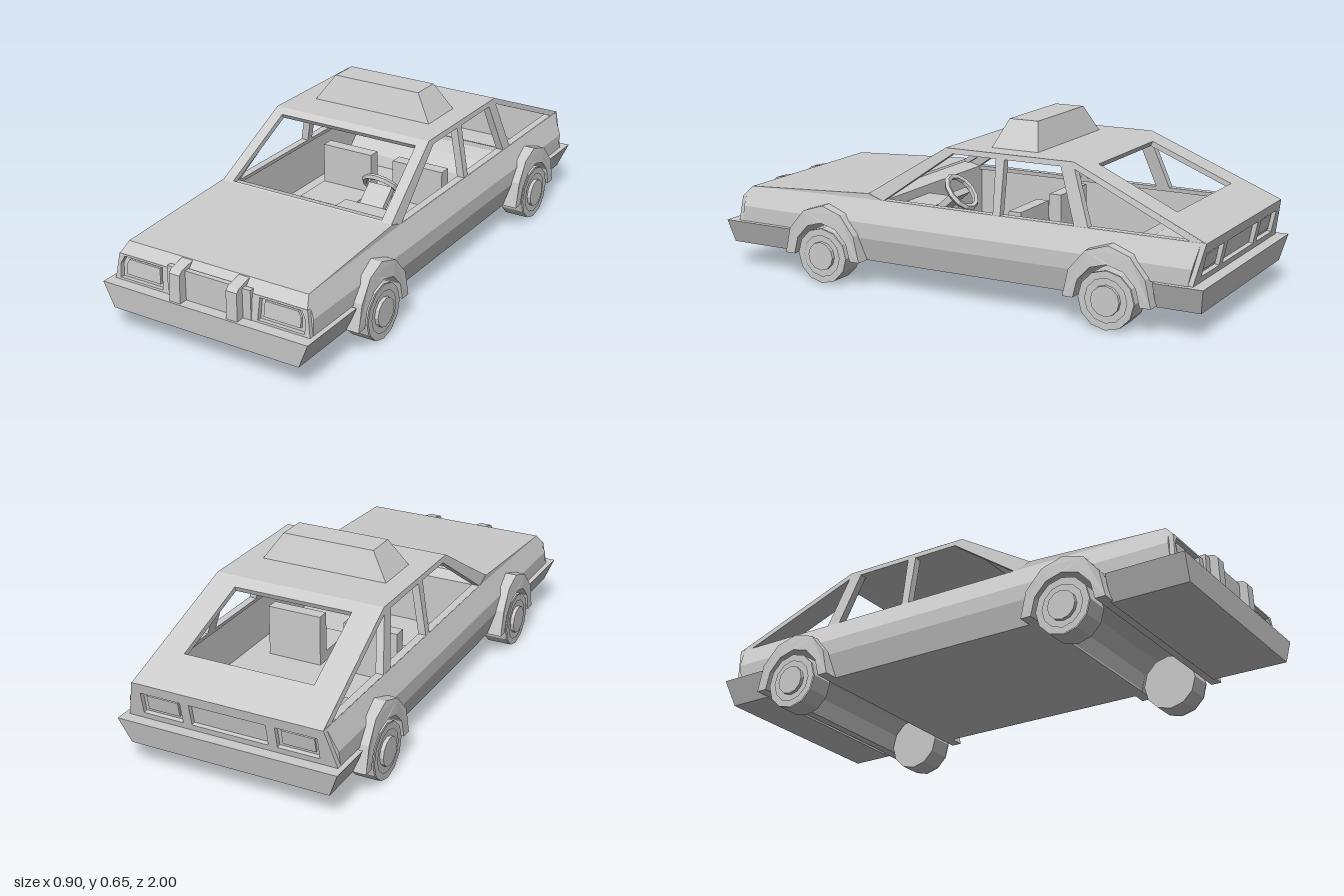
import * as THREE from 'three';

const grey = new THREE.MeshStandardMaterial({ color: 0xcccccc, flatShading: true, side: THREE.DoubleSide });
const AXLES = [0.54, -0.65];

// half width of the lower body, cabin and bumpers at height y
const bodyWidth = y => y < 0.19 ? 0.385 + (y - 0.1) * 0.28 : y <= 0.25 ? 0.41 : 0.41 - Math.min(1, (y - 0.25) / 0.085) * 0.037;
const cabinWidth = y => 0.372 - (y - 0.335) * 0.165;
const bumperWidth = y => 0.39 + (y - 0.095) * 0.42;
const fixed = v => () => v;

function shapeOf(points, holes = []) {
  const toV = p => new THREE.Vector2(p[0], p[1]);
  const shape = new THREE.Shape(points.map(toV));
  for (const h of holes) shape.holes.push(new THREE.Path(h.map(toV)));
  return shape;
}
const mirrored = points => points.map(([x, t]) => [-x, t]);
const rect = (x0, x1, t0, t1) => [[x0, t0], [x1, t0], [x1, t1], [x0, t1]];

export function createModel() {
  const car = new THREE.Group();
  car.name = 'car';

  function add(name, geometry, x = 0, y = 0, z = 0) {
    const mesh = new THREE.Mesh(geometry, grey);
    mesh.name = name;
    mesh.position.set(x, y, z);
    car.add(mesh);
    return mesh;
  }
  const box = (name, w, h, d, x, y, z) => add(name, new THREE.BoxGeometry(w, h, d), x, y, z);

  // side profile of [z, y] points swept across x between two widths that depend on y
  function prism(name, points, inner, outer, holes) {
    const g = new THREE.ExtrudeGeometry(shapeOf(points, holes), { depth: 1, bevelEnabled: false });
    g.rotateY(-Math.PI / 2);
    const p = g.attributes.position;
    for (let i = 0; i < p.count; i++) p.setX(i, p.getX(i) > -0.5 ? outer(p.getY(i)) : inner(p.getY(i)));
    g.computeVertexNormals();
    add(name, g);
  }
  const across = (name, points, width) => prism(name, points, y => -width(y), width);
  function bothSides(name, points, inner, outer, holes) {
    prism(name + 'Left', points, inner, outer, holes);
    prism(name + 'Right', points, y => -outer(y), y => -inner(y), holes);
  }

  // flat outline of [x, t] points, t running from (z0, y0) towards (z1, y1), with its outer face `lift` above that line
  function sheet(name, [z0, y0], [z1, y1], outline, holes, th = 0.02, lift = 0) {
    const L = Math.hypot(z1 - z0, y1 - y0);
    const g = new THREE.ExtrudeGeometry(shapeOf(outline, holes), { depth: th, bevelEnabled: false });
    g.translate(0, 0, lift - th);
    const X = new THREE.Vector3(1, 0, 0), T = new THREE.Vector3(0, (y1 - y0) / L, (z1 - z0) / L);
    g.applyMatrix4(new THREE.Matrix4().makeBasis(X, T, X.clone().cross(T)));
    g.translate(0, y0, z0);
    add(name, g);
  }
  // four-cornered sheet given its half width at both ends
  function panel(name, a, b, holes) {
    const L = Math.hypot(b[0] - a[0], b[1] - a[1]);
    sheet(name, a, b, [[-a[2], 0], [a[2], 0], [b[2], L], [-b[2], L]], holes);
  }

  // lower body bands
  bothSides('sill', [[0.415, 0.1], [0.435, 0.19], [-0.545, 0.19], [-0.525, 0.1]], fixed(0.36), bodyWidth);
  const wellEdge = AXLES.slice().reverse().flatMap(c => [[c - 0.105, 0.19], [c - 0.06, 0.235], [c + 0.06, 0.235], [c + 0.105, 0.19]]);
  bothSides('lowerSide', [[0.932, 0.25], [-0.95, 0.25], [-0.937, 0.19], ...wellEdge, [0.936, 0.19]], fixed(0.36), bodyWidth);
  bothSides('upperSide', [[0.932, 0.25], [0.926, 0.285], [0.944, 0.287], [0.91, 0.325], [0.37, 0.355], [0.31, 0.335],
    [-0.966, 0.335], [-0.95, 0.25]], fixed(0.36), bodyWidth);

  // nose with hood, tail and firewall
  across('hood', [[0.932, 0.25], [0.926, 0.285], [0.944, 0.287], [0.91, 0.325], [0.37, 0.355], [0.3, 0.335], [0.3, 0.25]], fixed(0.36));
  across('noseCore', [[0.936, 0.18], [0.932, 0.25], [0.9, 0.25], [0.9, 0.18]], fixed(0.36));
  across('tailCore', [[-0.937, 0.18], [-0.966, 0.335], [-0.93, 0.335], [-0.93, 0.18]], fixed(0.36));
  box('firewall', 0.72, 0.15, 0.02, 0, 0.175, 0.31);

  // nose and tail panels with recessed lamps and number plate
  const noseLow = [0.955, 0.19, 0.41], noseHigh = [0.945, 0.287, 0.395];
  const lamp = [[0.2, 0.008], [0.388, 0.008], [0.388, 0.06], [0.372, 0.09], [0.205, 0.09]];
  const lens = [[0.218, 0.022], [0.366, 0.022], [0.366, 0.062], [0.355, 0.08], [0.221, 0.08]];
  panel('nosePanel', noseLow, noseHigh, [lamp, mirrored(lamp)]);
  const tailHigh = [-0.985, 0.335, 0.373], tailLow = [-0.955, 0.19, 0.41];
  const tailLamp = rect(0.185, 0.345, 0.04, 0.125), tailLens = rect(0.202, 0.328, 0.054, 0.111);
  panel('tailPanel', tailHigh, tailLow, [tailLamp, mirrored(tailLamp), rect(-0.15, 0.15, 0.04, 0.125)]);
  for (const flip of [p => p, mirrored]) {
    sheet('headlamp', noseLow, noseHigh, flip(lens), [], 0.016, -0.008);
    sheet('tailLamp', tailHigh, tailLow, flip(tailLens), [], 0.016, -0.01);
  }
  box('grille', 0.35, 0.112, 0.02, 0, 0.246, 0.947);
  for (const x of [0.097, -0.142]) {
    prism('bumperGuard', [[0.9, 0.185], [0.992, 0.185], [0.988, 0.295], [0.975, 0.308], [0.91, 0.323]], fixed(x), fixed(x + 0.045));
  }

  // bumpers
  across('frontBumper', [[0.7, 0.095], [0.995, 0.095], [1, 0.19], [0.7, 0.19]], bumperWidth);
  across('rearBumper', [[-0.815, 0.095], [-0.98, 0.095], [-1, 0.19], [-0.815, 0.19]], bumperWidth);

  // floor between the wheel tunnels
  box('floor', 0.76, 0.03, 0.94, 0, 0.115, -0.055);

  // wheel arches, wheel tunnels running across the car, and wheels
  for (const c of AXLES) {
    const end = c > 0 ? 'front' : 'rear';
    const arc = (rz, ry) => Array.from({ length: 7 }, (_, i) =>
      [c + rz * Math.cos(i * Math.PI / 6), 0.1 + ry * Math.sin(i * Math.PI / 6)]);
    const inner = arc(0.127, 0.135).reverse();
    bothSides(end + 'WheelArch', [...arc(0.168, 0.2), ...inner], fixed(0.36), y => 0.443 - Math.max(0, y - 0.24) * 0.15);
    across(end + 'WheelTunnel', [...arc(0.16, 0.148), ...inner], fixed(0.37));
    for (const s of [1, -1]) {
      const disc = (name, r, x0, x1) => {
        const g = new THREE.CylinderGeometry(r, r, x1 - x0, 12);
        g.rotateZ(Math.PI / 2);
        add(name, g, s * (x0 + x1) / 2, 0.107, c);
      };
      disc(end + 'Tire', 0.107, 0.345, 0.438);
      const rim = new THREE.RingGeometry(0.08, 0.107, 12);
      rim.rotateY(s * Math.PI / 2);
      add(end + 'Rim', rim, s * 0.443, 0.107, c);
      disc(end + 'Hub', 0.055, 0.42, 0.452);
    }
  }

  // cabin: windscreen frame, roof, hatch and side window frames
  panel('windscreenFrame', [0.37, 0.355, 0.369], [0.05, 0.555, 0.336], [[[-0.325, 0.008], [0.325, 0.008], [0.295, 0.345], [-0.295, 0.345]]]);
  panel('roof', [0.05, 0.555, 0.336], [-0.47, 0.555, 0.336]);
  panel('hatch', [-0.47, 0.555, 0.336], [-0.985, 0.335, 0.372], [[[-0.235, 0.052], [0.235, 0.052], [0.255, 0.39], [-0.255, 0.39]]]);
  bothSides('windowFrame',
    [[0.34, 0.32], [0.37, 0.354], [0.05, 0.554], [-0.47, 0.554], [-0.98, 0.335], [-0.96, 0.32]],
    y => cabinWidth(y) - 0.03, cabinWidth, [
      [[0.3, 0.336], [0.02, 0.535], [-0.16, 0.535], [-0.165, 0.336]],
      [[-0.195, 0.336], [-0.195, 0.535], [-0.42, 0.535], [-0.49, 0.336]],
      [[-0.545, 0.336], [-0.475, 0.53], [-0.925, 0.336]]]);

  // roof sign
  const sign = new THREE.BoxGeometry(0.505, 0.1, 0.19);
  const sp = sign.attributes.position;
  for (let i = 0; i < sp.count; i++) if (sp.getY(i) > 0) sp.setXYZ(i, sp.getX(i) * 0.73, 0.05, sp.getZ(i) * 0.62);
  sign.computeVertexNormals();
  add('roofSign', sign, 0, 0.605, -0.19);

  // seats, dashboard pod and steering wheel
  for (const x of [0.16, -0.16]) {
    box('seatBack', 0.22, 0.2, 0.05, x, 0.23, -0.2);
    box('seatCushion', 0.22, 0.04, 0.18, x, 0.15, -0.09);
  }
  box('dashboard', 0.22, 0.1, 0.14, 0.16, 0.25, 0.24);
  add('steeringWheel', new THREE.TorusGeometry(0.07, 0.012, 5, 12), 0.16, 0.35, 0.09).rotation.x = 0.72;
  box('steeringColumn', 0.1, 0.025, 0.12, 0.16, 0.31, 0.135).rotation.x = 0.72;

  return car;
}
